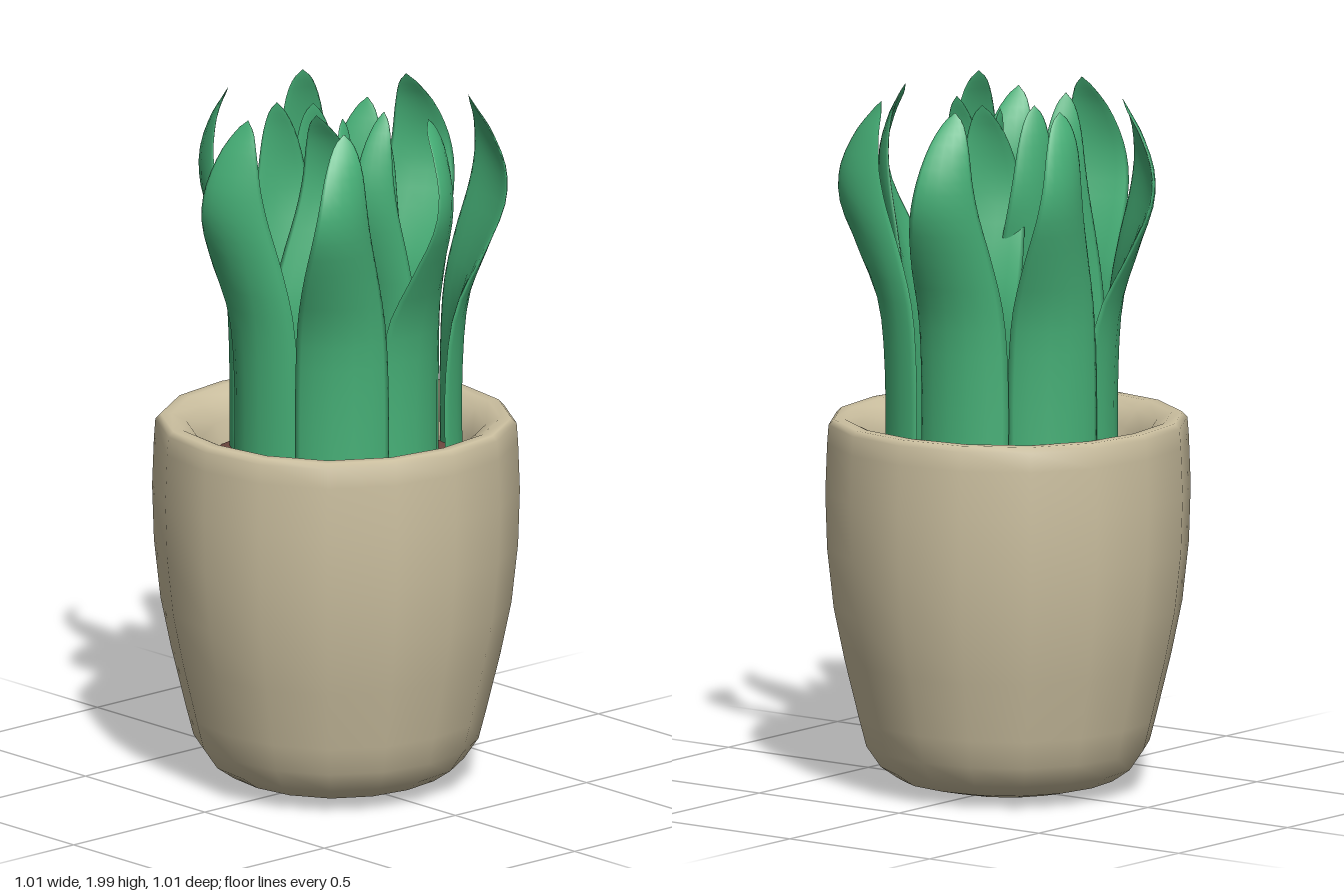
import * as THREE from 'three';

const potMat = new THREE.MeshStandardMaterial({ color: 0xccc0a0 });
potMat.name = 'beige clay';
const soilMat = new THREE.MeshStandardMaterial({ color: 0x6e4840 });
soilMat.name = 'brown soil';
const leafMat = new THREE.MeshStandardMaterial({ color: 0x46b077, side: THREE.DoubleSide });
leafMat.name = 'leaf green';

const BASE = 0.93;

// Leaf spine: x = outward lean, y = height, z = relative width
const spine = new THREE.CatmullRomCurve3([
  [0, BASE, 1], [0, 1.2, 1], [0.015, 1.4, 0.96], [0.06, 1.56, 0.87], [0.1, 1.7, 0.75],
  [0.105, 1.8, 0.62], [0.08, 1.9, 0.44], [0.045, 1.97, 0.22], [0.03, 2, 0],
].map((p) => new THREE.Vector3(...p)));

// A curved blade with a lens section, twisting where it leans out
function leafGeometry(x, z, degrees, width, height, lean) {
  const rows = 22, sides = 14;
  const a = THREE.MathUtils.degToRad(degrees);
  const out = new THREE.Vector3(Math.cos(a), 0, Math.sin(a));
  const along = new THREE.Vector3(-Math.sin(a), 0, Math.cos(a));
  const positions = [], index = [];
  for (let i = 0; i <= rows; i++) {
    const s = spine.getPoint(i / rows);
    const twist = s.x * 5;
    const wide = along.clone().multiplyScalar(Math.cos(twist)).addScaledVector(out, Math.sin(twist));
    const normal = out.clone().multiplyScalar(Math.cos(twist)).addScaledVector(along, -Math.sin(twist));
    const w = Math.max(s.z, 0.01);
    for (let j = 0; j < sides; j++) {
      const b = (j / sides) * Math.PI * 2;
      const u = Math.cos(b) * width * 0.5 * w;
      const v = Math.sin(b) * 0.015 * w - 2.4 * u * u;
      const p = new THREE.Vector3(x, BASE + (s.y - BASE) * height, z)
        .addScaledVector(out, s.x * lean).addScaledVector(wide, u).addScaledVector(normal, v);
      positions.push(p.x, p.y, p.z);
      if (i < rows) {
        const k = i * sides + j, n = i * sides + (j + 1) % sides;
        index.push(k, n, k + sides, n, n + sides, k + sides);
      }
    }
  }
  const g = new THREE.BufferGeometry();
  g.setAttribute('position', new THREE.Float32BufferAttribute(positions, 3));
  g.setIndex(index);
  g.computeVertexNormals();
  return g;
}

// Sixteen-sided turned form, a little fuller on the diagonals
function turned(points) {
  const g = new THREE.LatheGeometry(points.map((p) => new THREE.Vector2(...p)), 16);
  const pos = g.attributes.position;
  for (let i = 0; i < pos.count; i++) {
    const x = pos.getX(i), z = pos.getZ(i);
    const f = 1 + 0.032 * Math.sin(2 * Math.atan2(z, x)) ** 2;
    pos.setXYZ(i, x * f, pos.getY(i), z * f);
  }
  return g;
}

export function createModel() {
  const model = new THREE.Group();
  model.name = 'pottedPlant';

  // Pot: outer wall, rounded rim and inner slope
  const pot = new THREE.Mesh(turned([
    [0, 0.003], [0.2, 0.012], [0.3, 0.035], [0.35, 0.07], [0.39, 0.13], [0.41, 0.21],
    [0.45, 0.38], [0.48, 0.53], [0.498, 0.7], [0.503, 0.86], [0.498, 1.0], [0.494, 1.055],
    [0.48, 1.07], [0.45, 1.07], [0.41, 1.05], [0.37, 1.0], [0.34, 0.9],
  ]), potMat);
  pot.name = 'pot';
  model.add(pot);

  // Soil disc, slightly domed
  const soil = new THREE.Mesh(turned([[0.355, 0.94], [0.3, 0.97], [0, 0.985]]), soilMat);
  soil.name = 'soil';
  model.add(soil);

  const leaves = new THREE.Group();
  leaves.name = 'leaves';
  const addLeaves = (name, rows) => rows.forEach((row) => {
    const leaf = new THREE.Mesh(leafGeometry(...row), leafMat);
    leaf.name = name;
    leaves.add(leaf);
  });

  // Leaves: x, z, facing angle, width, height, lean
  addLeaves('outerLeaf', [
    [0.29, -0.056, -9, 0.265, 0.995, 1],
    [0.255, 0.205, 38, 0.265, 0.995, 1],
    [-0.01, 0.3, 91, 0.27, 0.995, 0.85],
    [-0.278, 0.12, 153, 0.265, 0.995, 1],
    [-0.277, -0.13, 213, 0.265, 0.995, 0.75],
    [-0.06, -0.3, 254, 0.265, 0.995, 1.05],
    [0.188, -0.292, 309, 0.265, 0.995, 1],
  ]);
  addLeaves('innerLeaf', [
    [0.075, 0.165, -104, 0.26, 0.99, 1],
    [-0.01, -0.145, 78, 0.26, 0.98, 0.65],
    [0.13, -0.08, 70, 0.18, 0.98, 0.8],
    [-0.2, -0.01, 178, 0.22, 0.82, 0.2],
    [-0.08, 0.015, 224, 0.23, 0.97, 0.4],
    [-0.1, 0.14, 238, 0.22, 0.99, 0.5],
    [0.02, 0, 10, 0.16, 0.95, 0.3],
    [0.075, -0.12, 40, 0.13, 0.9, 0.3],
  ]);
  model.add(leaves);

  return model;
}
